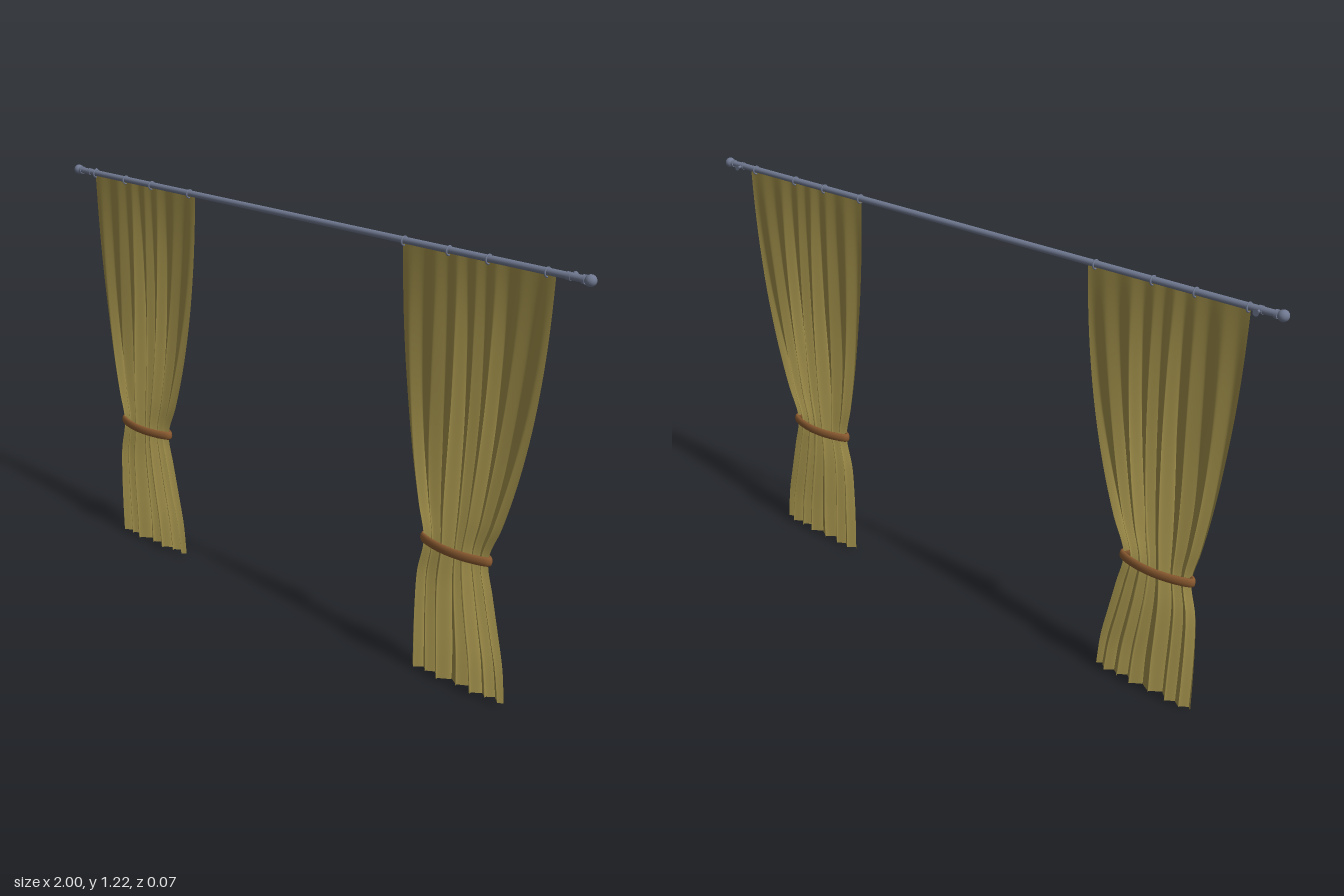
import * as THREE from 'three';

const ROD_Y = 1.204;
const fabric = new THREE.MeshStandardMaterial({ color: 0xa08f4a, side: THREE.DoubleSide });
const leather = new THREE.MeshStandardMaterial({ color: 0x8a5a30 });
const metal = new THREE.MeshStandardMaterial({ color: 0x6f7890 });

function add(parent, name, geometry, material, x = 0, y = 0, z = 0) {
  const mesh = new THREE.Mesh(geometry, material);
  mesh.name = name;
  mesh.position.set(x, y, z);
  parent.add(mesh);
  return mesh;
}

// Left edge, right edge and fold depth at equal steps from hem to rod
const outline = new THREE.CatmullRomCurve3([
  [-0.137, 0.186, 0.021], [-0.137, 0.175, 0.022], [-0.135, 0.153, 0.022], [-0.129, 0.13, 0.021],
  [-0.109, 0.11, 0.019], [-0.132, 0.148, 0.02], [-0.153, 0.18, 0.018], [-0.17, 0.206, 0.015],
  [-0.184, 0.227, 0.012], [-0.196, 0.243, 0.01], [-0.205, 0.255, 0.008], [-0.211, 0.263, 0.005],
  [-0.215, 0.268, 0.002],
].map(p => new THREE.Vector3(...p)), false, 'catmullrom', 0.5);

// Gathered sheet: pleats deepen towards the tie and fade out at the rod
function curtainGeometry() {
  const cols = 140, rows = 72, height = ROD_Y - 0.009;
  const geometry = new THREE.PlaneGeometry(1, 1, cols, rows);
  const pos = geometry.attributes.position;
  const edge = new THREE.Vector3();
  for (let i = 0; i < pos.count; i++) {
    const u = pos.getX(i) + 0.5, v = pos.getY(i) + 0.5;
    outline.getPoint(v, edge);
    const sides = Math.sqrt(Math.max(0, 4 * u * (1 - u)));
    const warp = u + 0.035 * Math.sin(7 * u + 3 * v) * sides;
    const phase = Math.PI * 2 * 6.5 * warp + 0.5 * Math.sin(5 * v);
    const fold = 0.75 * Math.sin(phase) + 0.25 * Math.sin(phase * 0.47 + 2 * v + 1);
    const lean = 0.008 * Math.sin(phase * 2) * sides * edge.z / 0.022;
    const taper = 0.25 + 0.75 * sides;
    pos.setXYZ(i,
      THREE.MathUtils.lerp(edge.x, edge.y, u) + lean,
      v * height + 0.01 * u * (1 - v),
      edge.z * fold * taper + 0.003 * sides * (1 - v));
  }
  geometry.computeVertexNormals();
  return geometry;
}

// Flat band following a lens-shaped loop around the gathers
function tieGeometry() {
  const points = [];
  for (let i = 0; i < 24; i++) {
    const a = i / 24 * Math.PI * 2, s = Math.sin(a);
    points.push(new THREE.Vector3(0.115 * Math.cos(a), 0, 0.029 * s * (0.7 + 0.3 * s * s)));
  }
  const path = new THREE.CatmullRomCurve3(points, true);
  return new THREE.TubeGeometry(path, 96, 0.007, 12, true).scale(1, 1.95, 1);
}

export function createModel() {
  const model = new THREE.Group();
  model.name = 'curtains';

  // Rod with ball ends
  add(model, 'rod', new THREE.CylinderGeometry(0.009, 0.009, 1.97, 20).rotateZ(Math.PI / 2), metal, 0, ROD_Y);
  const ball = new THREE.SphereGeometry(0.015, 20, 14);
  const collar = new THREE.CylinderGeometry(0.0115, 0.0115, 0.008, 20).rotateZ(Math.PI / 2);
  const arm = new THREE.CylinderGeometry(0.004, 0.004, 0.022, 12).rotateX(Math.PI / 2);
  const plate = new THREE.CylinderGeometry(0.005, 0.009, 0.006, 16).rotateX(Math.PI / 2);
  for (const side of [-1, 1]) {
    add(model, 'rodEnd', ball, metal, side * 0.985, ROD_Y);
    add(model, 'rodCollar', collar, metal, side * 0.968, ROD_Y);
    // Wall bracket behind the rod
    const bracket = new THREE.Group();
    bracket.name = 'wallBracket';
    bracket.position.set(side * 0.925, ROD_Y, 0);
    add(bracket, 'bracketArm', arm, metal, 0, -0.001, -0.011);
    add(bracket, 'bracketPlate', plate, metal, 0, -0.001, -0.022);
    add(bracket, 'bracketCup', new THREE.CylinderGeometry(0.0105, 0.0105, 0.012, 16).rotateZ(Math.PI / 2), metal);
    model.add(bracket);
  }

  // Two matching curtains, each with a tie and four rings
  const sheet = curtainGeometry(), tie = tieGeometry();
  const ring = new THREE.TorusGeometry(0.0115, 0.0025, 8, 24).rotateY(Math.PI / 2);
  for (const [name, x] of [['rightCurtain', -0.683], ['leftCurtain', 0.62]]) {
    const curtain = new THREE.Group();
    curtain.name = name;
    curtain.position.x = x;
    add(curtain, 'sheet', sheet, fabric);
    add(curtain, 'tie', tie, leather, 0, 0.402);
    for (const rx of [-0.21, -0.06, 0.066, 0.243]) add(curtain, 'ring', ring, metal, rx, ROD_Y - 0.002);
    model.add(curtain);
  }
  return model;
}
